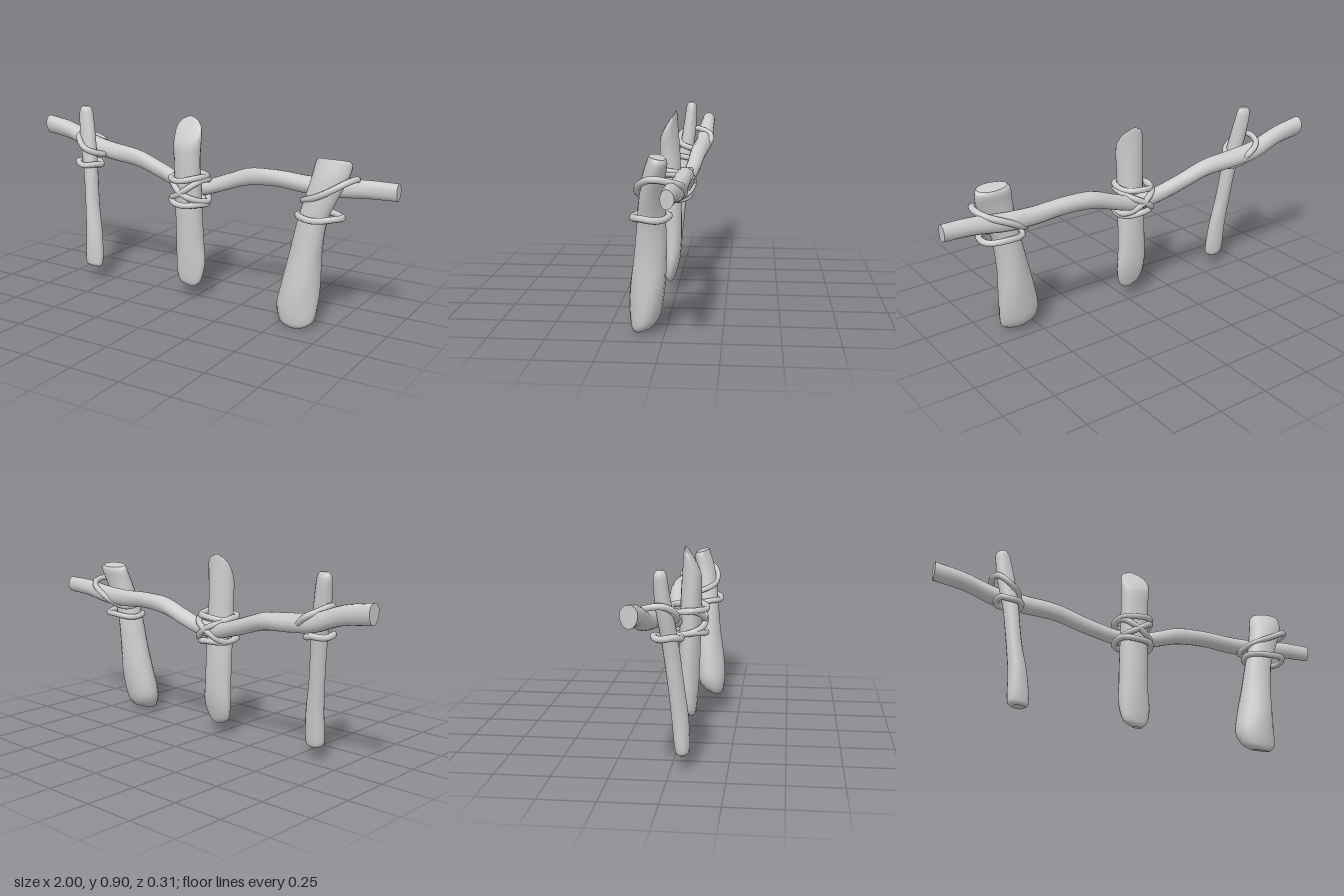
import * as THREE from 'three';

const material = new THREE.MeshStandardMaterial({ color: 0xcccccc });

// Lofts elliptical rings through sections [x, y, z, ru, rv, tilt] along 'x' or 'y'.
function loft(name, sections, axis, sides = 16, steps = 5) {
  const [u, v] = axis === 'y' ? ['x', 'z'] : ['z', 'y'];
  const curve = (pick) => new THREE.CatmullRomCurve3(
    sections.map((s) => new THREE.Vector3(...pick(s))), false, 'catmullrom', 0.5);
  const centres = curve((s) => s.slice(0, 3));
  const sizes = curve((s) => [s[3], s[4], s[5] || 0]);
  const rows = (sections.length - 1) * steps;
  const positions = [], index = [], rings = [];
  for (let j = 0; j <= rows; j++) {
    const c = centres.getPoint(j / rows), size = sizes.getPoint(j / rows);
    const ring = [];
    for (let i = 0; i < sides; i++) {
      const t = (i / sides) * Math.PI * 2;
      // slight hand-cut unevenness
      const k = 1 + 0.035 * Math.sin(3 * t + j * 0.25);
      const p = c.clone();
      const dv = Math.sin(t) * size.y * k;
      p[u] += Math.cos(t) * size.x * k;
      p[v] += dv;
      p[axis] += size.z * dv;
      ring.push(p);
      positions.push(p.x, p.y, p.z);
    }
    rings.push(ring);
  }
  for (let j = 0; j < rows; j++) {
    for (let i = 0; i < sides; i++) {
      const a = j * sides + i, b = j * sides + (i + 1) % sides;
      index.push(a, a + sides, b, b, a + sides, b + sides);
    }
  }
  // end cuts with their own vertices so the rim stays crisp
  for (const [row, top] of [[0, false], [rows, true]]) {
    const start = positions.length / 3;
    const c = centres.getPoint(row / rows);
    positions.push(c.x, c.y, c.z);
    rings[row].forEach((p) => positions.push(p.x, p.y, p.z));
    for (let i = 0; i < sides; i++) {
      const a = start + 1 + i, b = start + 1 + (i + 1) % sides;
      index.push(start, top ? b : a, top ? a : b);
    }
  }
  const geometry = new THREE.BufferGeometry();
  geometry.setAttribute('position', new THREE.Float32BufferAttribute(positions, 3));
  geometry.setIndex(index);
  geometry.computeVertexNormals();
  const mesh = new THREE.Mesh(geometry, material);
  mesh.name = name;
  return mesh;
}

// Closed rope loop: an ellipse around (x, y, z), rising by `rise` towards +x.
function ropeLoop(name, [x, y, z], rx, rz, rise = 0, lean = 0) {
  const points = [];
  for (let i = 0; i < 16; i++) {
    const t = (i / 16) * Math.PI * 2;
    points.push(new THREE.Vector3(
      x + rx * Math.cos(t),
      y + rise * Math.cos(t) + lean * Math.sin(t) + 0.004 * Math.sin(3 * t),
      z + rz * Math.sin(t)));
  }
  const path = new THREE.CatmullRomCurve3(points, true);
  const mesh = new THREE.Mesh(new THREE.TubeGeometry(path, 56, 0.015, 8, true), material);
  mesh.name = name;
  return mesh;
}

export function createModel() {
  const group = new THREE.Group();
  group.name = 'fence';

  // sagging branch used as the rail
  group.add(loft('rail', [
    [-1, 0.763, -0.11, 0.036, 0.048],
    [-0.85, 0.738, -0.108, 0.04, 0.045],
    [-0.7, 0.685, -0.1, 0.045, 0.045],
    [-0.55, 0.662, -0.088, 0.044, 0.044],
    [-0.4, 0.648, -0.08, 0.04, 0.042],
    [-0.25, 0.602, -0.068, 0.036, 0.04],
    [-0.1, 0.558, -0.045, 0.036, 0.038],
    [0.02, 0.556, -0.042, 0.036, 0.038],
    [0.13, 0.592, -0.055, 0.038, 0.04],
    [0.25, 0.635, -0.064, 0.038, 0.042],
    [0.4, 0.647, -0.062, 0.038, 0.04],
    [0.55, 0.638, -0.056, 0.04, 0.042],
    [0.7, 0.64, -0.05, 0.04, 0.044],
    [0.85, 0.656, -0.042, 0.034, 0.042],
    [1, 0.662, -0.043, 0.028, 0.04],
  ], 'x'));

  // thin post on the -x side
  group.add(loft('rightPost', [
    [-0.595, 0.072, 0.055, 0.03, 0.018, 0.2],
    [-0.6, 0.1, 0.052, 0.05, 0.032, 0.1],
    [-0.605, 0.24, 0.042, 0.045, 0.037],
    [-0.625, 0.4, 0.025, 0.037, 0.036],
    [-0.645, 0.58, 0.005, 0.038, 0.036],
    [-0.67, 0.72, -0.015, 0.043, 0.036],
    [-0.685, 0.82, -0.026, 0.04, 0.032],
    [-0.692, 0.875, -0.03, 0.035, 0.027],
    [-0.69, 0.897, -0.03, 0.018, 0.014],
  ], 'y'));

  // middle post with an obliquely cut top and a pointed foot
  group.add(loft('middlePost', [
    [-0.015, 0.068, 0.032, 0.025, 0.012],
    [-0.025, 0.1, 0.028, 0.062, 0.028, -0.3],
    [-0.025, 0.18, 0.022, 0.078, 0.042, -0.2],
    [-0.028, 0.3, 0.022, 0.073, 0.05],
    [-0.03, 0.5, 0.028, 0.07, 0.052],
    [-0.032, 0.7, 0.035, 0.069, 0.05],
    [-0.03, 0.8, 0.038, 0.074, 0.044, -0.8],
    [-0.03, 0.85, 0.034, 0.068, 0.036, -1.4],
    [-0.035, 0.873, 0.028, 0.035, 0.026, -1.5],
  ], 'y'));

  // broad club-shaped post on the +x side
  group.add(loft('leftPost', [
    [0.598, 0.018, 0.095, 0.05, 0.04, -0.3],
    [0.592, 0.045, 0.09, 0.085, 0.06, -0.25],
    [0.588, 0.11, 0.083, 0.099, 0.072],
    [0.602, 0.22, 0.072, 0.09, 0.076],
    [0.618, 0.35, 0.062, 0.075, 0.07],
    [0.642, 0.5, 0.056, 0.068, 0.062],
    [0.672, 0.6, 0.05, 0.074, 0.056],
    [0.705, 0.7, 0.036, 0.086, 0.05],
    [0.72, 0.765, 0.02, 0.088, 0.042, 0.2],
    [0.722, 0.787, 0.02, 0.076, 0.034, 0.25],
  ], 'y'));

  // rope lashings binding each post to the rail
  const lashings = [
    ['rightLowerLashing', [-0.655, 0.608, -0.005], 0.06, 0.058, -0.005],
    ['rightUpperLashing', [-0.664, 0.7, -0.052], 0.066, 0.088, -0.05],
    ['middleUpperLashing', [-0.034, 0.615, 0.02], 0.086, 0.088, 0.008],
    ['middleLowerLashing', [-0.032, 0.495, 0.02], 0.088, 0.085, -0.006],
    ['middleCrossLashing', [-0.032, 0.555, 0.01], 0.088, 0.092, 0.055],
    ['middleCrossLashing', [-0.032, 0.555, 0.01], 0.088, 0.092, -0.055],
    ['leftLowerLashing', [0.675, 0.53, 0.052], 0.103, 0.076, 0.004],
    ['leftUpperLashing', [0.7, 0.645, 0.008], 0.122, 0.098, 0.062],
  ];
  lashings.forEach((lashing) => group.add(ropeLoop(...lashing)));

  return group;
}
